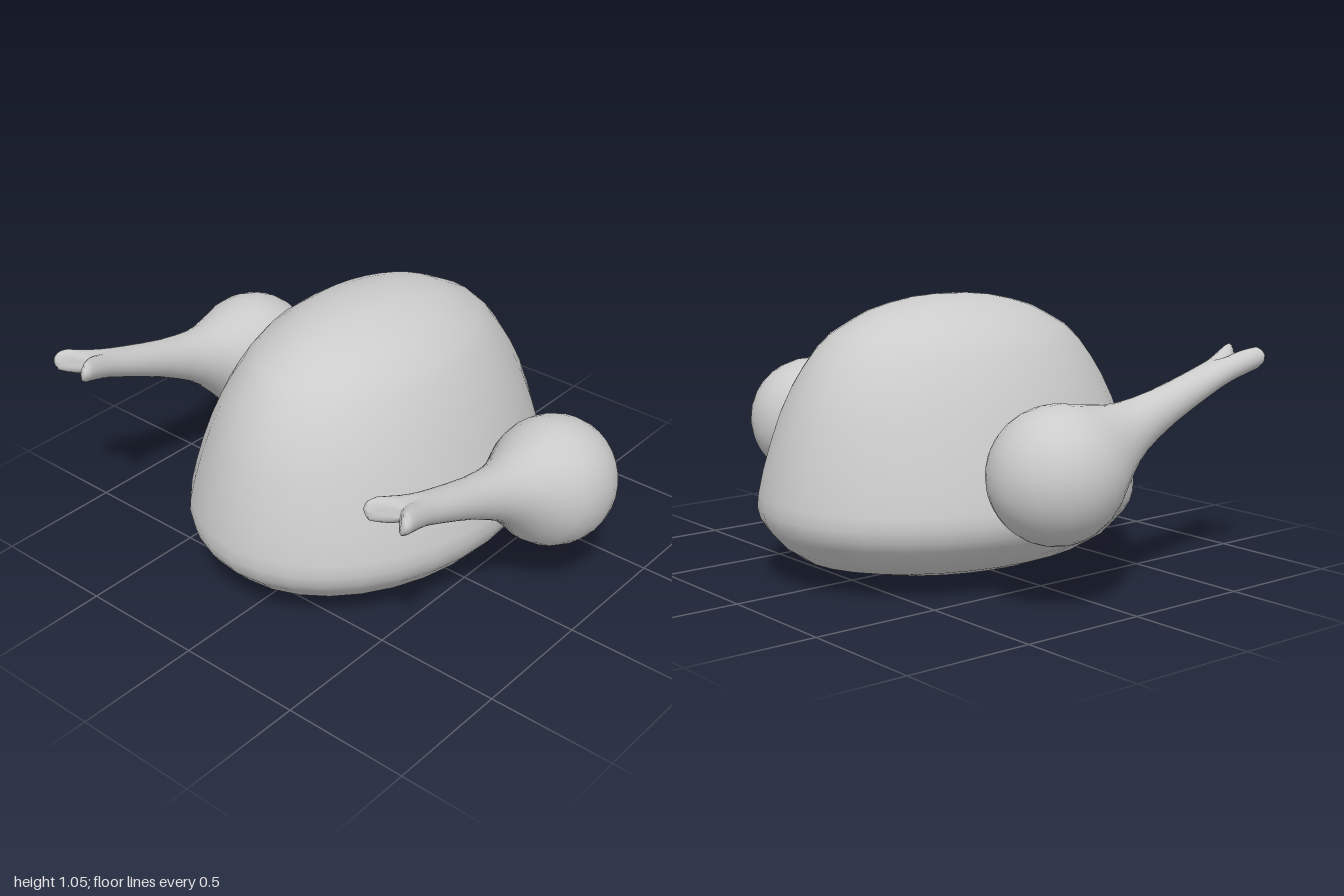
import * as THREE from 'three';

const material = new THREE.MeshStandardMaterial({ color: 0xcccccc });

// Closed smooth loft along y: rings are [y, rx, rz], with a pole at each end.
function loft(rings, yStart, yEnd, segments, reshape) {
  const points = [];
  const index = [];
  for (const [y, rx, rz] of rings) {
    for (let j = 0; j < segments; j++) {
      const a = (j / segments) * Math.PI * 2;
      points.push(new THREE.Vector3(rx * Math.cos(a), y, rz * Math.sin(a)));
    }
  }
  const start = points.push(new THREE.Vector3(0, yStart, 0)) - 1;
  const end = points.push(new THREE.Vector3(0, yEnd, 0)) - 1;
  if (reshape) points.forEach(reshape);
  const last = (rings.length - 1) * segments;
  for (let j = 0; j < segments; j++) {
    const k = (j + 1) % segments;
    index.push(start, j, k, end, last + k, last + j);
    for (let base = 0; base < last; base += segments) {
      const a = base + j, b = base + k, c = a + segments, d = b + segments;
      index.push(a, c, b, b, c, d);
    }
  }
  const geometry = new THREE.BufferGeometry().setFromPoints(points);
  geometry.setIndex(index);
  geometry.computeVertexNormals();
  return geometry;
}

// Plump body: oval in plan, domed on top, shallow bowl underneath
function bodyGeometry() {
  const rings = [
    [0.01, 0.12, 0.16], [0.027, 0.25, 0.34], [0.058, 0.38, 0.51],
    [0.09, 0.46, 0.635], [0.135, 0.53, 0.7], [0.2, 0.585, 0.76],
    [0.235, 0.605, 0.783], [0.28, 0.617, 0.795], [0.33, 0.611, 0.79],
    [0.42, 0.585, 0.772], [0.52, 0.553, 0.744], [0.63, 0.51, 0.708],
    [0.72, 0.47, 0.665], [0.79, 0.432, 0.622], [0.86, 0.388, 0.57],
    [0.915, 0.345, 0.51], [0.965, 0.28, 0.42], [0.995, 0.235, 0.36],
    [1.02, 0.18, 0.275], [1.04, 0.115, 0.18], [1.048, 0.06, 0.1]
  ];
  return loft(rings, 0.003, 1.052, 32);
}

// Drumstick: round meat, thin bone and a notched two-knob end
function drumstickGeometry() {
  const rings = [];
  for (let i = 1; i <= 8; i++) {
    const a = (i / 8) * Math.PI / 2;
    rings.push([-0.245 * Math.cos(a), 0.24 * Math.sin(a), 0.247 * Math.sin(a)]);
  }
  rings.push(
    [0.06, 0.235, 0.242], [0.12, 0.217, 0.223], [0.18, 0.187, 0.19],
    [0.24, 0.157, 0.16], [0.31, 0.126, 0.126], [0.38, 0.104, 0.104],
    [0.45, 0.088, 0.09], [0.55, 0.075, 0.075], [0.65, 0.069, 0.066],
    [0.75, 0.066, 0.059], [0.82, 0.065, 0.055], [0.87, 0.068, 0.055],
    [0.92, 0.077, 0.056], [0.97, 0.087, 0.059], [1.005, 0.095, 0.06],
    [1.025, 0.096, 0.054], [1.038, 0.088, 0.042], [1.042, 0.07, 0.028],
    [1.042, 0.045, 0.018], [1.042, 0.02, 0.008]
  );
  // Pull the middle of the bone end back and pinch it to split the knobs
  const notch = (p) => {
    const t = THREE.MathUtils.smoothstep(p.y, 0.82, 1.03);
    const middle = Math.max(0, 1 - Math.abs(p.x) / 0.068) * t;
    p.y -= 0.09 * middle;
    p.z *= 1 - 0.45 * middle;
  };
  return loft(rings, -0.245, 1.042, 32, notch);
}

export function createModel() {
  const model = new THREE.Group();
  model.name = 'roastBird';

  const body = new THREE.Mesh(bodyGeometry(), material);
  body.name = 'body';
  body.position.z = -0.027;
  model.add(body);

  // Legs lie along the flanks, bone ends raised to the front
  const legGeometry = drumstickGeometry();
  for (const [name, side] of [['leftDrumstick', 1], ['rightDrumstick', -1]]) {
    const leg = new THREE.Mesh(legGeometry, material);
    leg.name = name;
    leg.position.set(side * 0.76, 0.484, -0.172);
    leg.rotation.x = 1.229;
    model.add(leg);
  }
  return model;
}
